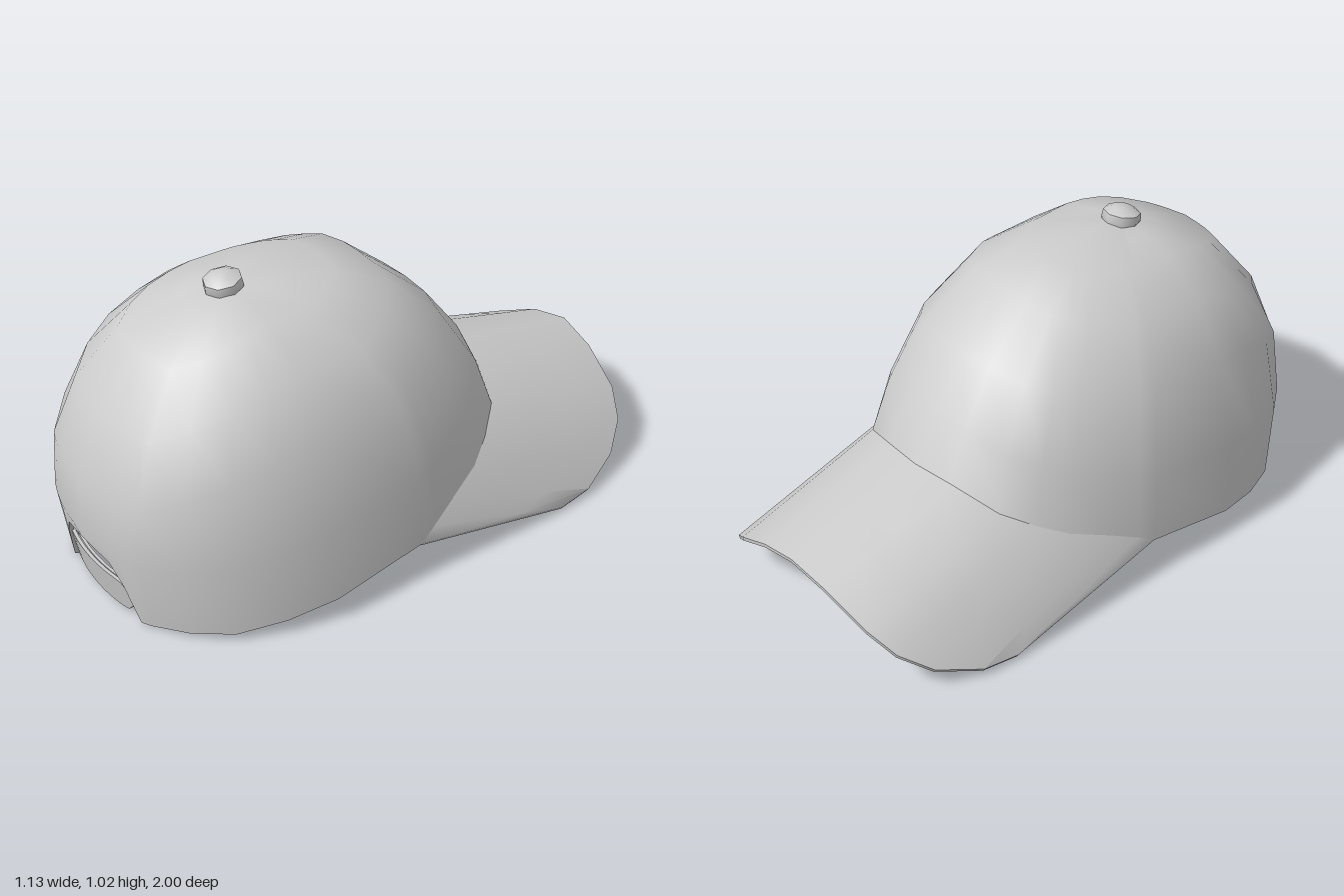
import * as THREE from 'three';
import { toCreasedNormals } from 'three/addons/utils/BufferGeometryUtils.js';

const material = new THREE.MeshStandardMaterial({ color: 0xcccccc, side: THREE.DoubleSide });
const V = (x, y, z) => new THREE.Vector3(x, y, z);
const lerp = THREE.MathUtils.lerp;

// Skin a list of columns of points, leaving out collapsed triangles
function skin(columns, closed) {
  const pos = [];
  const tri = (a, b, c) => {
    const area = b.clone().sub(a).cross(c.clone().sub(a)).length();
    if (area > 1e-7) [a, b, c].forEach((p) => pos.push(p.x, p.y, p.z));
  };
  const n = columns.length;
  for (let i = 0; i < (closed ? n : n - 1); i++) {
    const A = columns[i], B = columns[(i + 1) % n];
    for (let j = 0; j < A.length - 1; j++) {
      tri(A[j], B[j], A[j + 1]);
      tri(A[j + 1], B[j], B[j + 1]);
    }
  }
  const g = new THREE.BufferGeometry();
  g.setAttribute('position', new THREE.Float32BufferAttribute(pos, 3));
  return toCreasedNormals(g, 1.0);
}

const mirror = (column) => column.map((p) => V(-p.x, p.y, p.z));

// Crown profiles from top to rim: [share of the radius, share of the height]
const PROFILES = [
  [[0, 1], [0.12, 1.025], [0.38, 1.0], [0.55, 0.91], [0.76, 0.61], [0.9, 0.31], [1, 0]], // over the bill
  [[0, 1], [0.2, 0.995], [0.41, 0.966], [0.68, 0.84], [0.87, 0.64], [0.99, 0.3], [1, 0]], // sides
  [[0, 1], [0.21, 0.975], [0.58, 0.88], [0.84, 0.69], [0.98, 0.48], [1, 0.27], [0.93, 0]], // over the strap
];

// Half of the crown plan: x, z, rim height, profile blend, height of the strap opening
const PLAN = [
  [0, -0.49, 0.44, 0, 0], [0.15, -0.47, 0.43, 0.1, 0], [0.31, -0.41, 0.37, 0.3, 0],
  [0.39, -0.32, 0.315, 0.45, 0], [0.45, -0.23, 0.27, 0.6, 0], [0.5, -0.1, 0.22, 0.78, 0],
  [0.535, 0, 0.175, 0.92, 0], [0.55, 0.06, 0.14, 1, 0], [0.565, 0.4, 0.085, 1, 0],
  [0.535, 0.57, 0.055, 1.15, 0], [0.48, 0.73, 0.03, 1.4, 0], [0.39, 0.85, 0.02, 1.7, 0],
  [0.27, 0.94, 0.005, 2, 0], [0.23, 0.955, 0, 2, 0], [0.18, 0.97, 0, 2, 0.14],
  [0.13, 0.98, 0, 2, 0.21], [0, 1.0, 0, 2, 0.25],
];
const APEX = V(0, 0.975, 0.43);

function crownColumn([x, z, rim, blend, cut], inset) {
  const k = Math.min(1, Math.floor(blend)), t = blend - k;
  const radius = Math.hypot(x, z - APEX.z);
  const at = (j) => [0, 1].map((c) => lerp(PROFILES[k][j][c], PROFILES[k + 1][j][c], t));
  const points = [];
  for (let j = 0; j < 7; j++) {
    let [f, h] = at(j);
    let y = rim + (APEX.y - rim) * h;
    if (y < cut) {
      f = lerp(f, at(j - 1)[0], cut / 0.27);
      y = cut;
    }
    f *= 1 - inset / radius;
    points.push(V(x * f, y - inset * Math.max(0, h), APEX.z + (z - APEX.z) * f));
  }
  return points;
}

function crownGeometry() {
  const half = PLAN.map((p) => [...crownColumn(p, 0), ...crownColumn(p, 0.016).reverse()]);
  return skin([...half, ...half.slice(1, -1).reverse().map(mirror)], true);
}

// Half of the bill's free edge, paired with the first columns of the crown plan
const BILL_EDGE = [
  [0, 0.335, -1], [0.15, 0.3, -0.99], [0.31, 0.22, -0.965], [0.4, 0.15, -0.92],
  [0.47, 0.08, -0.83], [0.53, 0.028, -0.68], [0.547, 0.017, -0.55], [0.55, 0.14, 0.06],
];

function billGeometry() {
  const half = BILL_EDGE.map((e, i) => {
    const [x, z, y] = PLAN[i];
    const inner = V(x, y, z), outer = V(...e);
    const top = [0, 0.33, 0.67, 1].map((t) => inner.clone().lerp(outer, t));
    const under = top.map((p) => V(p.x * 0.985, p.y - 0.012, p.z)).reverse();
    return [...top, ...under];
  });
  return skin([...half.slice(1).reverse().map(mirror), ...half], false);
}

// Curved strap band, tilted with the crown; its free end may be rounded off
function strapGeometry(x0, x1, height, depth, z, rounded) {
  const g = new THREE.BoxGeometry(x1 - x0, height, depth, 14, 2, 1);
  g.translate((x0 + x1) / 2, 0.073, 0);
  const p = g.attributes.position;
  for (let i = 0; i < p.count; i++) {
    const x = p.getX(i);
    let y = p.getY(i);
    const end = rounded ? Math.max(0, 1 - (x1 - x) / 0.045) : 0;
    y = 0.073 + (y - 0.073) * (1 - 0.55 * end * end);
    p.setXYZ(i, x, y, p.getZ(i) + z - 0.7 * x * x + (y - 0.073) * 0.2);
  }
  return toCreasedNormals(g, 0.7);
}

export function createModel() {
  const group = new THREE.Group();
  const add = (name, geometry) => {
    const mesh = new THREE.Mesh(geometry, material);
    mesh.name = name;
    group.add(mesh);
    return mesh;
  };

  add('crown', crownGeometry());
  add('bill', billGeometry());

  // Closing strap: an under band and an outer band with a rounded end
  add('underStrap', strapGeometry(-0.2, 0.235, 0.118, 0.01, 0.93, false));
  add('outerStrap', strapGeometry(-0.235, 0.178, 0.126, 0.012, 0.945, true));

  // Top button
  const profile = [[0.06, -0.012], [0.066, 0.005], [0.063, 0.03], [0.035, 0.046], [0, 0.051]];
  const button = add('topButton', toCreasedNormals(
    new THREE.LatheGeometry(profile.map(([r, y]) => new THREE.Vector2(r, y)), 8), 0.9));
  button.position.set(0, 0.973, 0.435);
  button.rotation.x = 0.17;

  return group;
}
